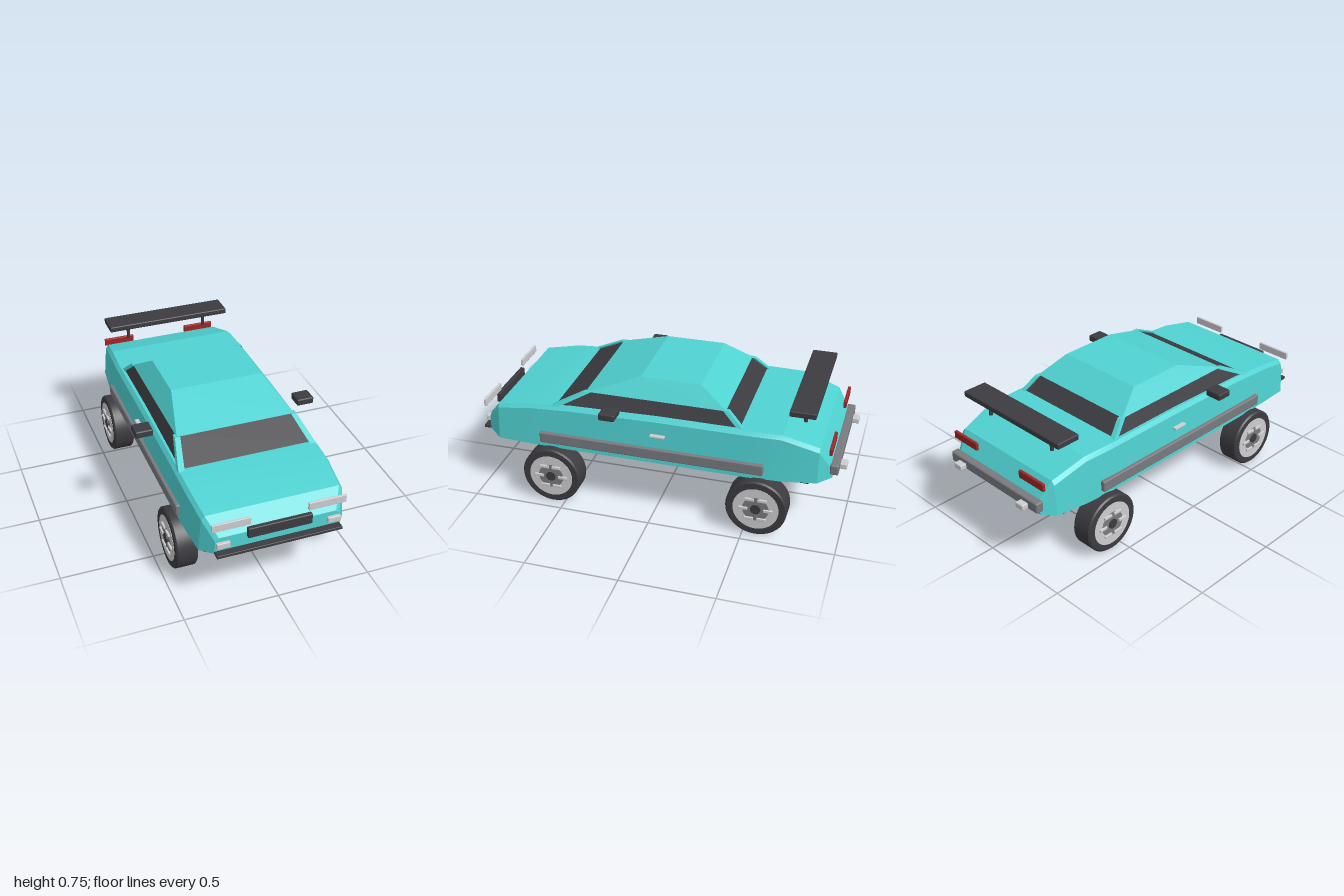
import * as THREE from 'three';
import { toCreasedNormals } from 'three/addons/utils/BufferGeometryUtils.js';
import { RoundedBoxGeometry } from 'three/addons/geometries/RoundedBoxGeometry.js';

const material = (name, color) => {
  const m = new THREE.MeshStandardMaterial({ color });
  m.name = name;
  return m;
};

// Closed skin over rings of [x, y, z]; each ring runs anticlockwise seen from the first end.
function loft(rings, crease = 0.3) {
  const n = rings[0].length, index = [];
  rings.slice(1).forEach((_, i) => {
    for (let j = 0; j < n; j++) {
      const a = i * n + j, b = i * n + (j + 1) % n, c = b + n, d = a + n;
      index.push(a, d, c, a, c, b);
    }
  });
  const last = (rings.length - 1) * n;
  for (let k = 1; k < n - 1; k++) {
    index.push(0, k, k + 1, last, last + k + 1, last + k);
  }
  const g = new THREE.BufferGeometry();
  g.setAttribute('position', new THREE.Float32BufferAttribute(rings.flat(2), 3));
  g.setIndex(index);
  return toCreasedNormals(g.toNonIndexed(), crease);
}

// Level rectangle used as a ring for the cabin parts
const level = (y, x0, x1, zBack, zFront) =>
  [[x1, y, zFront], [x1, y, zBack], [x0, y, zBack], [x0, y, zFront]];

export function createModel() {
  const model = new THREE.Group();
  model.name = 'car';
  const paint = material('turquoise paint', 0x50d2d2);
  const dark = material('dark trim', 0x3c3b40);
  const black = material('black underside', 0x222225);
  const light = material('light silver', 0xcdcdd0);
  const grey = material('grey trim', 0x787a7f);
  const red = material('red lamp', 0xa02626);

  const add = (name, geometry, mat, parent = model) => {
    const mesh = new THREE.Mesh(geometry, mat);
    mesh.name = name;
    parent.add(mesh);
    return mesh;
  };
  // Box given by its limits on each axis, with slightly rounded edges
  const block = (name, mat, x, y, z, parent = model) => {
    const size = [x[1] - x[0], y[1] - y[0], z[1] - z[0]];
    const g = new RoundedBoxGeometry(...size, 2, Math.min(...size) * 0.2);
    add(name, g, mat, parent).position.set(
      (x[0] + x[1]) / 2, (y[0] + y[1]) / 2, (z[0] + z[1]) / 2);
  };
  // Same box on both sides of the car
  const pair = (name, mat, x, y, z) => {
    block('left' + name, mat, x, y, z);
    block('right' + name, mat, [-x[1], -x[0]], y, z);
  };

  // Body: z, bottom half width, bottom height, top half width, top height
  const stations = [
    [0.96, 0.33, 0.34, 0.325, 0.43],
    [0.885, 0.385, 0.32, 0.37, 0.52],
    [0.695, 0.395, 0.32, 0.385, 0.555],
    [0.47, 0.4, 0.32, 0.387, 0.57],
    [-0.02, 0.4, 0.32, 0.387, 0.58],
    [-0.5, 0.4, 0.32, 0.387, 0.58],
    [-0.675, 0.39, 0.32, 0.38, 0.58],
    [-0.865, 0.37, 0.33, 0.355, 0.52],
    [-0.935, 0.325, 0.35, 0.32, 0.41],
  ];
  add('body', loft(stations.map(([z, wb, yb, wt, yt]) => [
    [wb, yb, z], [wt, yt - 0.02, z], [wt - 0.018, yt, z],
    [-wt + 0.018, yt, z], [-wt, yt - 0.02, z], [-wb, yb, z],
  ])), paint);
  add('underside', new THREE.BoxGeometry(0.72, 0.008, 1.72), black).position.set(0, 0.316, 0.04);

  // Cabin glass, roof and corner pillars
  add('windows', loft([
    level(0.65, -0.317, 0.317, -0.37, 0.38),
    level(0.56, -0.362, 0.362, -0.475, 0.56),
  ]), dark);
  add('roof', loft([
    level(0.745, -0.255, 0.255, -0.22, 0.107),
    level(0.648, -0.322, 0.322, -0.372, 0.392),
  ]), paint);
  for (const s of [1, -1]) {
    const side = (y, x0, x1, z0, z1) =>
      s > 0 ? level(y, x0, x1, z0, z1) : level(y, -x1, -x0, z0, z1);
    add('frontPillar', loft([
      side(0.65, 0.305, 0.334, 0.365, 0.4),
      side(0.56, 0.342, 0.375, 0.535, 0.575),
    ]), paint);
    add('rearPillar', loft([
      side(0.652, 0.302, 0.328, -0.385, -0.355),
      side(0.57, 0.335, 0.362, -0.475, -0.445),
    ]), paint);
  }

  // Front end
  pair('Headlight', light, [0.15, 0.35], [0.485, 0.527], [0.964, 0.978]);
  pair('FogLight', light, [0.255, 0.325], [0.38, 0.412], [0.965, 0.985]);
  block('grille', dark, [-0.168, 0.168], [0.411, 0.468], [0.965, 0.99]);
  block('frontLip', dark, [-0.33, 0.33], [0.336, 0.353], [0.93, 1]);

  // Sides
  pair('SideMoulding', grey, [0.375, 0.414], [0.348, 0.41], [-0.59, 0.635]);
  pair('DoorHandle', light, [0.385, 0.414], [0.48, 0.491], [-0.065, 0.015]);
  pair('Mirror', dark, [0.405, 0.5], [0.592, 0.63], [0.175, 0.262]);

  // Rear end
  block('rearBumper', grey, [-0.335, 0.335], [0.37, 0.428], [-0.965, -0.92]);
  pair('Taillight', red, [0.165, 0.345], [0.488, 0.53], [-0.928, -0.912]);
  pair('Tailpipe', light, [0.215, 0.27], [0.373, 0.405], [-1, -0.95]);
  block('spoiler', dark, [-0.36, 0.36], [0.69, 0.722], [-0.835, -0.7]);
  for (const s of [1, -1]) {
    add('spoilerStrut', new THREE.CylinderGeometry(0.01, 0.01, 0.09, 12), dark)
      .position.set(s * 0.235, 0.65, -0.768);
  }

  // Wheels: built along +x with the outer face at +x, then turned for the right side
  const disc = (name, mat, radius, x0, x1, parent) => {
    const g = new THREE.CylinderGeometry(radius, radius, x1 - x0, 40).rotateZ(-Math.PI / 2);
    add(name, g, mat, parent).position.x = (x0 + x1) / 2;
  };
  const tyre = new THREE.LatheGeometry([
    [0.11, -0.058], [0.155, -0.058], [0.163, -0.05],
    [0.163, 0.05], [0.155, 0.058], [0.11, 0.058],
  ].map(([r, h]) => new THREE.Vector2(r, h)), 40).rotateZ(-Math.PI / 2);
  const tyreShape = toCreasedNormals(tyre.toNonIndexed(), 0.5);
  for (const s of [1, -1]) {
    for (const z of [0.568, -0.568]) {
      const wheel = new THREE.Group();
      wheel.name = (z > 0 ? 'front' : 'rear') + (s > 0 ? 'Left' : 'Right') + 'Wheel';
      add('tyre', tyreShape, dark, wheel);
      disc('rim', light, 0.122, -0.0585, 0.0595, wheel);
      disc('rimCentre', grey, 0.07, -0.06, 0.061, wheel);
      disc('hub', dark, 0.027, -0.063, 0.066, wheel);
      for (let i = 0; i < 6; i++) {
        const a = i * Math.PI / 3;
        const y = 0.067 * Math.sin(a), c = 0.067 * Math.cos(a);
        block('spoke', light, [0.055, 0.07], [y - 0.008, y + 0.008], [c - 0.025, c + 0.025], wheel);
      }
      wheel.position.set(s * 0.386, 0.163, z);
      if (s < 0) wheel.rotation.y = Math.PI;
      model.add(wheel);
    }
  }
  return model;
}
